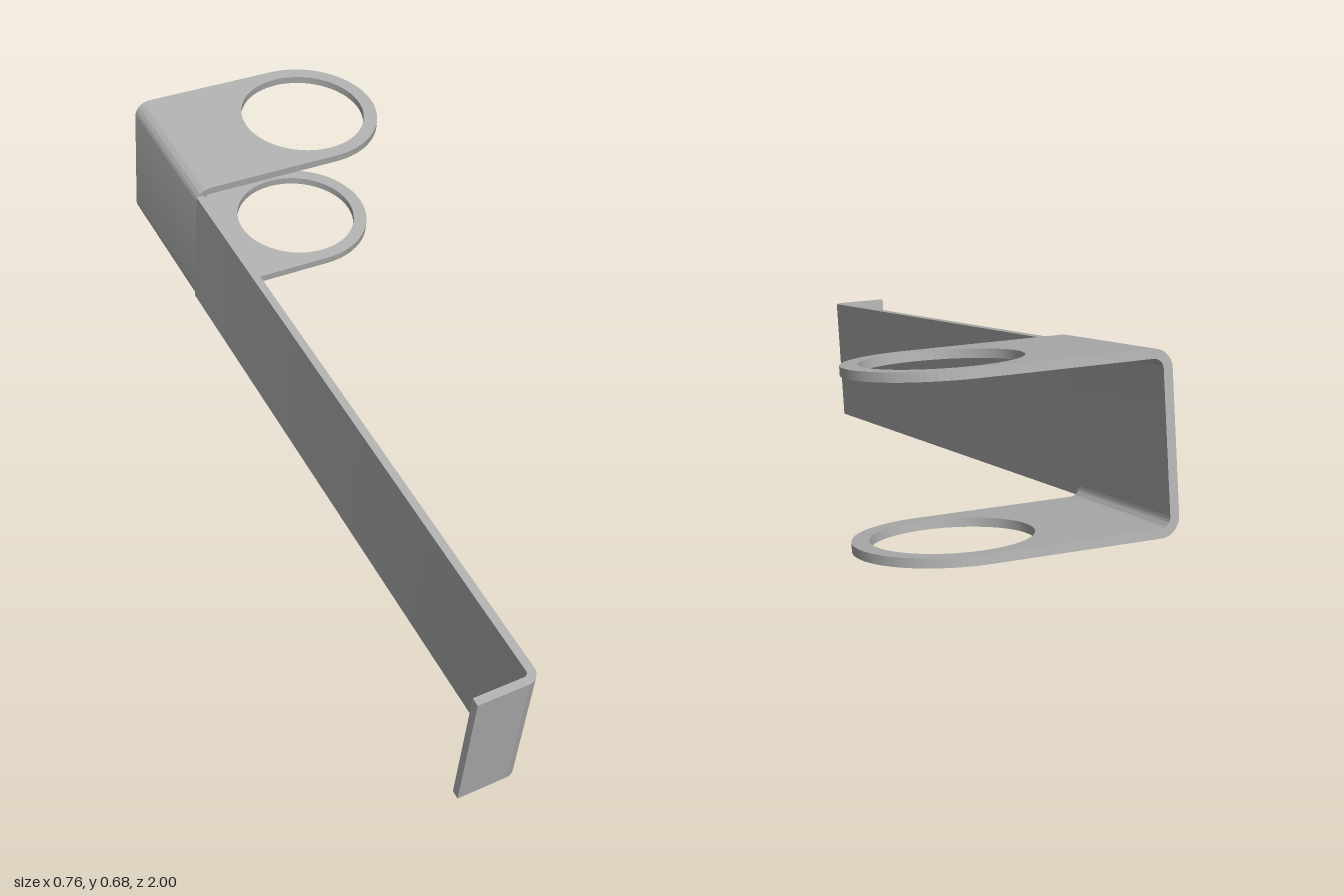
import * as THREE from 'three';
import { toCreasedNormals } from 'three/addons/utils/BufferGeometryUtils.js';

const T = 0.019;       // sheet thickness
const H = 0.324;       // strip height
const BACK = 1.975;    // distance from front face to back edge
const HALF = 0.195;    // half width of a ring flange
const RING_X = 0.388;  // ring centre, out from the strip
const HOLE = 0.16;     // ring hole radius
const BEND = 0.04;     // outer bend radius at the flanges

const extrude = (shape, depth) => toCreasedNormals(
  new THREE.ExtrudeGeometry(shape, { depth, bevelEnabled: false, curveSegments: 32 }), 0.5);

// Lays a shape drawn as (x, distance back) flat, thickness going up
const layFlat = (shape, depth, y) => extrude(shape, depth).rotateX(-Math.PI / 2).translate(0, y, 0);

export function createModel() {
  const model = new THREE.Group();
  model.name = 'ringBracket';
  const metal = new THREE.MeshStandardMaterial({ color: 0xb0b0b0 });
  metal.name = 'greyMetal';

  // Everything is built square, then the bracket is tilted and turned slightly
  const bracket = new THREE.Group();
  bracket.name = 'bracket';
  bracket.rotation.set(THREE.MathUtils.degToRad(10), -0.031, 0);
  bracket.position.set(-0.256, 0.001, 0.944);
  model.add(bracket);

  const add = (name, geometry) => {
    const mesh = new THREE.Mesh(geometry, metal);
    mesh.name = name;
    bracket.add(mesh);
  };

  // Long strip with the bent foot at the front
  const flangeStart = BACK - 2 * HALF;
  const r = 0.011, R = r + T, footX = -0.126;
  const strip = new THREE.Shape();
  strip.moveTo(footX, 0);
  strip.lineTo(T - R, 0);
  strip.absarc(T - R, R, R, -Math.PI / 2, 0, false);
  strip.lineTo(T, flangeStart);
  strip.lineTo(0, flangeStart);
  strip.lineTo(0, R);
  strip.absarc(-r, R, r, 0, -Math.PI / 2, true);
  strip.lineTo(footX, T);
  strip.closePath();
  add('stripAndFoot', layFlat(strip, H, 0));

  // Back part of the strip, with a bend towards each flange
  const low = -T, high = H + T, inner = BEND - T;
  const channel = new THREE.Shape();
  channel.moveTo(BEND, high);
  channel.absarc(BEND, high - BEND, BEND, Math.PI / 2, Math.PI, false);
  channel.lineTo(0, low + BEND);
  channel.absarc(BEND, low + BEND, BEND, Math.PI, Math.PI * 1.5, false);
  channel.lineTo(BEND, 0);
  channel.absarc(BEND, low + BEND, inner, Math.PI * 1.5, Math.PI, true);
  channel.lineTo(T, high - BEND);
  channel.absarc(BEND, high - BEND, inner, Math.PI, Math.PI / 2, true);
  channel.closePath();
  add('backChannel', extrude(channel, 2 * HALF).translate(0, 0, -BACK));

  // Two flanges with rounded ends and round holes
  const centre = BACK - HALF;
  const flange = new THREE.Shape();
  flange.moveTo(BEND, flangeStart);
  flange.lineTo(RING_X, flangeStart);
  flange.absarc(RING_X, centre, HALF, -Math.PI / 2, Math.PI / 2, false);
  flange.lineTo(BEND, BACK);
  flange.closePath();
  const hole = new THREE.Path();
  hole.absarc(RING_X, centre, HOLE, 0, Math.PI * 2, true);
  flange.holes.push(hole);
  add('upperRingFlange', layFlat(flange, T, H));
  add('lowerRingFlange', layFlat(flange, T, -T));

  return model;
}
